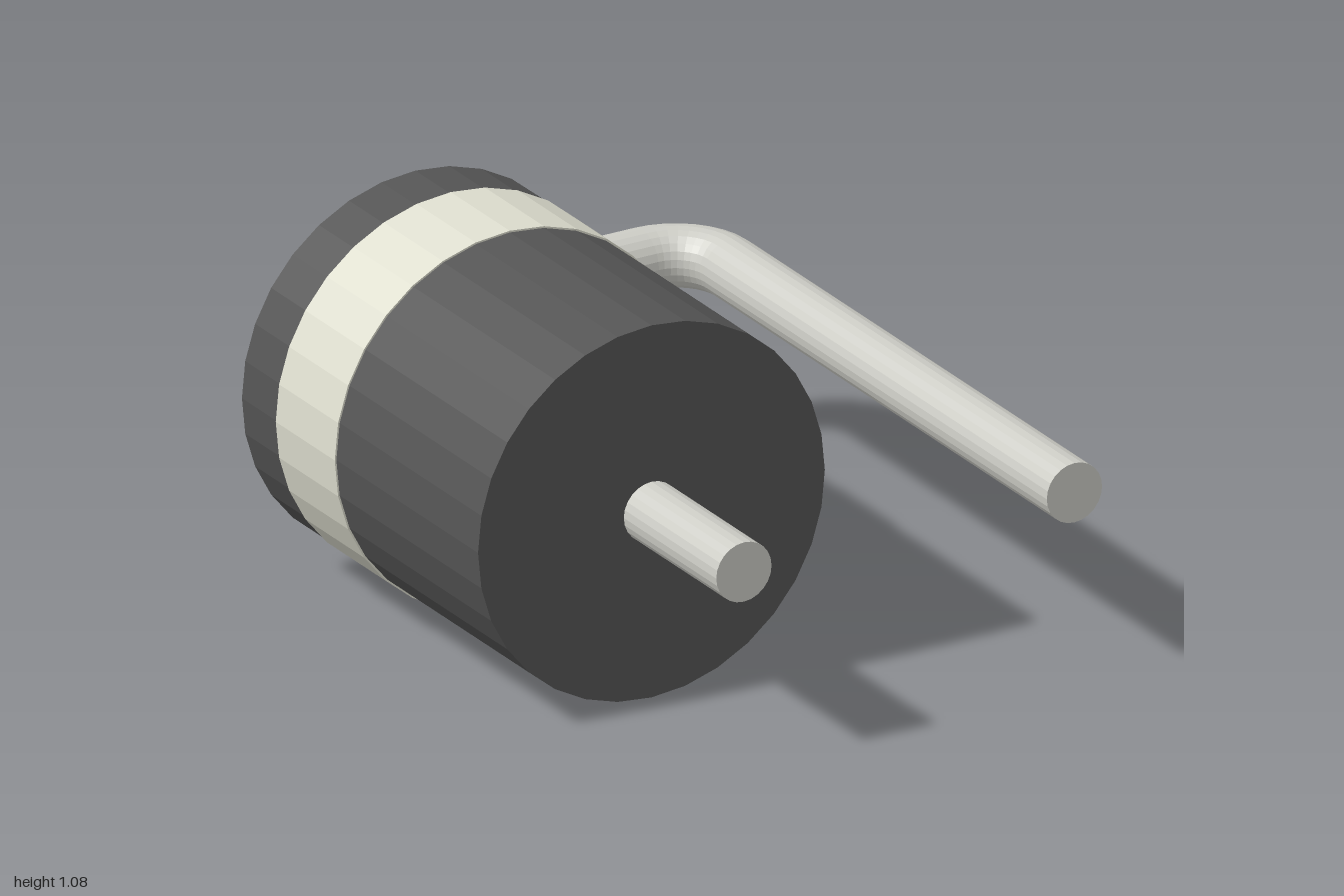
import * as THREE from 'three';
import { mergeGeometries } from 'three/addons/utils/BufferGeometryUtils.js';

const AXIS_X = -0.285, LEG_X = 0.731, AXIS_Y = 0.538;
const WIRE_R = 0.085, BEND_R = 0.17, BACK_Z = -0.915, FRONT_Z = 1;

function material(color) {
  return new THREE.MeshStandardMaterial({ color, flatShading: true });
}

// Cylinder lying along z between two depths
function rodZ(radius, x, z0, z1, sides) {
  return new THREE.CylinderGeometry(radius, radius, z1 - z0, sides)
    .rotateX(Math.PI / 2)
    .translate(x, AXIS_Y, (z0 + z1) / 2);
}

// Quarter bend of the wire, from +x round to -z, then turned about y
function bend(x, turn) {
  return new THREE.TorusGeometry(BEND_R, WIRE_R, 24, 8, Math.PI / 2)
    .rotateX(-Math.PI / 2)
    .rotateY(turn)
    .translate(x, AXIS_Y, BACK_Z + BEND_R);
}

export function createModel() {
  const model = new THREE.Group();
  const add = (name, geometry, color) => {
    const mesh = new THREE.Mesh(geometry, material(color));
    mesh.name = name;
    model.add(mesh);
  };

  // Dark cylindrical body with a pale marking band
  add('body', rodZ(0.533, AXIS_X, -0.67, 0.53, 32), 0x555555);
  add('band', rodZ(0.538, AXIS_X, -0.49, -0.19, 32), 0xdedecf);

  // Wire through the body, folded back alongside it
  const bendZ = BACK_Z + BEND_R;
  const left = AXIS_X + BEND_R, right = LEG_X - BEND_R;
  const crossbar = new THREE.CylinderGeometry(WIRE_R, WIRE_R, right - left, 24, 1, true)
    .rotateZ(Math.PI / 2)
    .translate((left + right) / 2, AXIS_Y, BACK_Z);
  add('wireLead', mergeGeometries([
    rodZ(WIRE_R, AXIS_X, bendZ, FRONT_Z, 24),
    bend(left, Math.PI / 2),
    crossbar,
    bend(right, 0),
    rodZ(WIRE_R, LEG_X, bendZ, FRONT_Z, 24),
  ]), 0xcdcdc6);

  return model;
}
